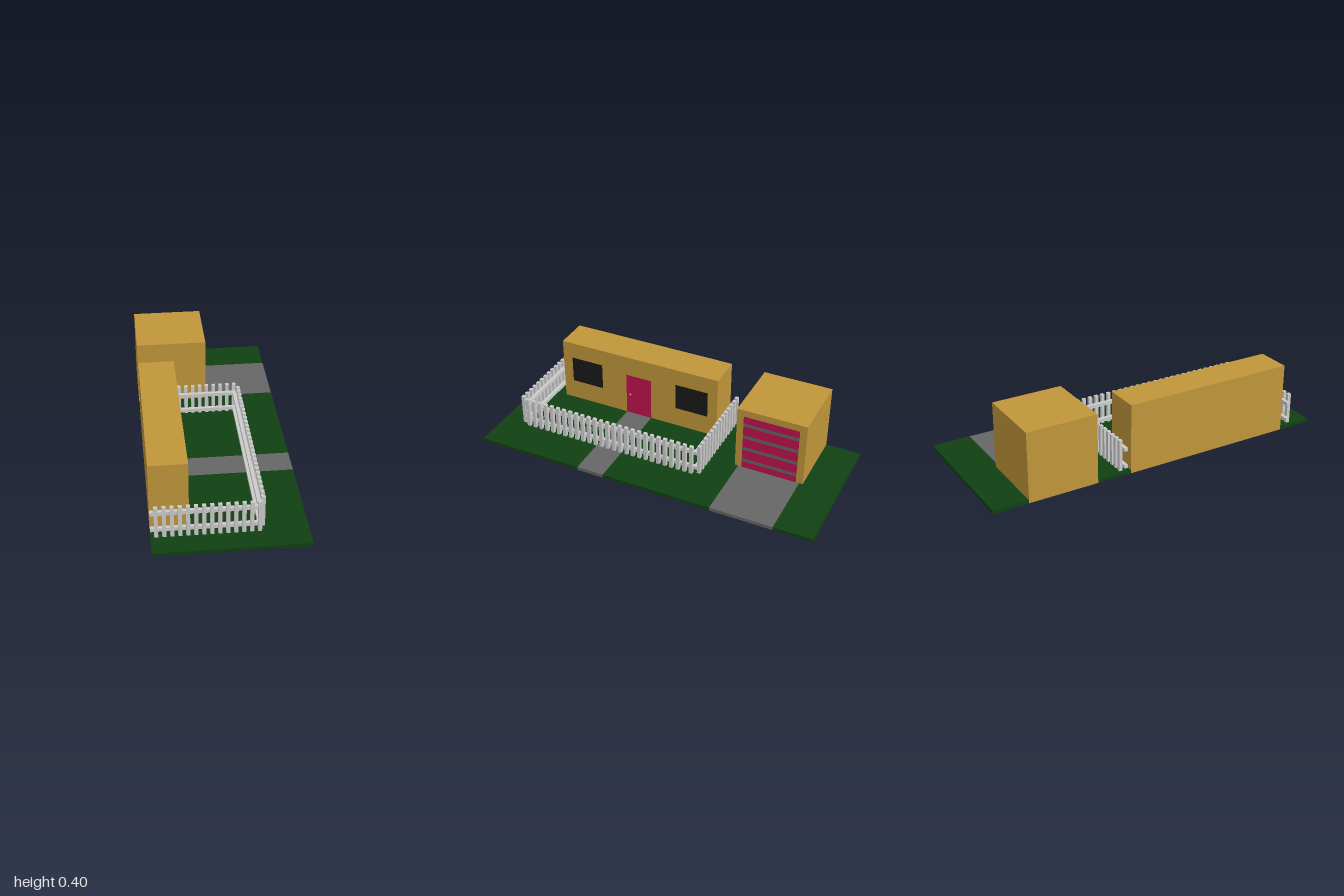
import * as THREE from 'three';

const mat = (color) => new THREE.MeshStandardMaterial({ color });
const wall = mat(0xc0963a), red = mat(0xc01050), paving = mat(0x666666);
const glass = mat(0x191919), grass = mat(0x104012), brass = mat(0xc08a30);
const fenceGrey = mat(0xcccccc);

// Box given by its lower and upper limits on each axis
function box(name, material, [x0, x1], [y0, y1], [z0, z1]) {
  const mesh = new THREE.Mesh(new THREE.BoxGeometry(x1 - x0, y1 - y0, z1 - z0), material);
  mesh.position.set((x0 + x1) / 2, (y0 + y1) / 2, (z0 + z1) / 2);
  mesh.name = name;
  return mesh;
}

// Lawn slab from an outline of [x, z] points
function lawn(points) {
  const shape = new THREE.Shape(points.map(([x, z]) => new THREE.Vector2(x, -z)));
  const geometry = new THREE.ExtrudeGeometry(shape, { depth: 0.02, bevelEnabled: false });
  geometry.rotateX(-Math.PI / 2);
  const mesh = new THREE.Mesh(geometry, grass);
  mesh.name = 'lawn';
  return mesh;
}

function createGround() {
  const ground = new THREE.Group();
  ground.name = 'ground';
  // Lawn pieces fit around the buildings and the paving
  ground.add(
    lawn([[-0.4, -1], [0.4, -1], [0.4, -0.78], [0, -0.78], [0, -0.8], [-0.4, -0.8]]),
    lawn([[-0.4, -0.4], [0, -0.4], [0, -0.42], [0.4, -0.42], [0.4, 0.22],
      [-0.2, 0.22], [-0.2, -0.2], [-0.4, -0.2]]),
    lawn([[-0.2, 0.38], [0.4, 0.38], [0.4, 1], [-0.4, 1], [-0.4, 0.8], [-0.2, 0.8]]),
    box('driveway', paving, [0, 0.4], [0, 0.02], [-0.78, -0.42]),
    box('path', paving, [-0.2, 0.4], [0, 0.02], [0.22, 0.38]),
  );
  return ground;
}

function createHouse() {
  const house = new THREE.Group();
  house.name = 'house';
  house.add(
    box('houseBody', wall, [-0.4, -0.2], [0.001, 0.4], [-0.2, 0.8]),
    box('frontDoor', red, [-0.21, -0.199], [0, 0.28], [0.22, 0.38]),
  );
  for (const z of [-0.14, 0.54]) {
    house.add(box('window', glass, [-0.21, -0.199], [0.14, 0.3], [z, z + 0.2]));
  }
  const knob = new THREE.Mesh(new THREE.SphereGeometry(0.007, 12, 8), brass);
  knob.position.set(-0.196, 0.15, 0.355);
  knob.name = 'doorKnob';
  house.add(knob);
  return house;
}

function createGarage() {
  const garage = new THREE.Group();
  garage.name = 'garage';
  garage.add(
    box('garageBody', wall, [-0.4, 0], [0.001, 0.4], [-0.8, -0.4]),
    box('garageDoor', red, [-0.01, 0.001], [0, 0.36], [-0.76, -0.44]),
  );
  // Grey strips between the door panels
  for (let i = 0; i < 4; i++) {
    const y = 0.06 + i * 0.0785;
    garage.add(box('doorStrip', paving, [-0.01, 0.002], [y, y + 0.02], [-0.76, -0.44]));
  }
  return garage;
}

function createFence() {
  const fence = new THREE.Group();
  fence.name = 'fence';
  // Two rails along each of the three sides
  for (const y of [0.04, 0.14]) {
    const h = [y, y + 0.02];
    fence.add(
      box('sideRail', fenceGrey, [-0.4, 0.14], h, [-0.24, -0.22]),
      box('sideRail', fenceGrey, [-0.4, 0.14], h, [0.84, 0.86]),
      box('longRail', fenceGrey, [0.14, 0.16], h, [-0.24, 0.86]),
    );
  }
  // Pickets on the outside of the rails
  const tall = [0.001, 0.2];
  for (let i = 0; i < 14; i++) {
    const x = -0.38 + i * 0.04;
    for (const z of [-0.26, 0.86]) {
      fence.add(box('picket', fenceGrey, [x, x + 0.02], tall, [z, z + 0.02]));
    }
  }
  for (let i = 0; i < 27; i++) {
    const z = -0.22 + i * 0.04;
    fence.add(box('picket', fenceGrey, [0.16, 0.18], tall, [z, z + 0.02]));
  }
  return fence;
}

export function createModel() {
  const model = new THREE.Group();
  model.name = 'houseWithGarage';
  model.add(createGround(), createHouse(), createGarage(), createFence());
  return model;
}
